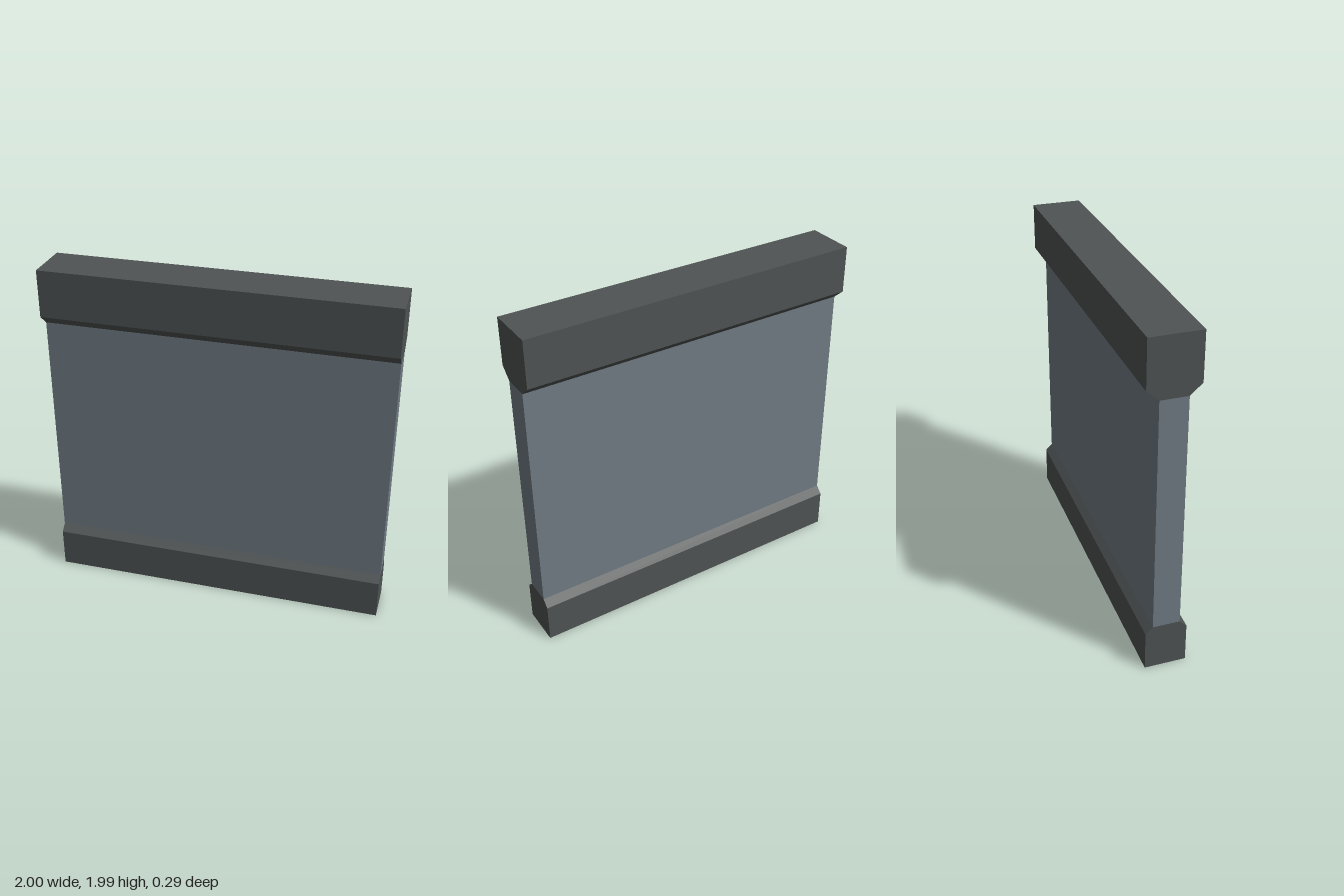
import * as THREE from 'three';

const HALF_WIDTH = 1;

// Hollow shell through [height, halfDepth] rows, with both ends closed.
function shell(name, rows, material, closedTop = false) {
  const pos = [];
  const quad = (a, b, c, d) => pos.push(...a, ...b, ...c, ...a, ...c, ...d);
  const w = HALF_WIDTH;
  for (let i = 0; i < rows.length - 1; i++) {
    const [y0, d0] = rows[i];
    const [y1, d1] = rows[i + 1];
    quad([-w, y0, d0], [w, y0, d0], [w, y1, d1], [-w, y1, d1]); // front
    quad([w, y0, -d0], [-w, y0, -d0], [-w, y1, -d1], [w, y1, -d1]); // back
    quad([w, y0, d0], [w, y0, -d0], [w, y1, -d1], [w, y1, d1]); // left end
    quad([-w, y0, -d0], [-w, y0, d0], [-w, y1, d1], [-w, y1, -d1]); // right end
  }
  if (closedTop) {
    const [y, d] = rows[rows.length - 1];
    quad([-w, y, d], [w, y, d], [w, y, -d], [-w, y, -d]);
  }
  const geometry = new THREE.BufferGeometry();
  geometry.setAttribute('position', new THREE.Float32BufferAttribute(pos, 3));
  geometry.computeVertexNormals();
  const mesh = new THREE.Mesh(geometry, material);
  mesh.name = name;
  return mesh;
}

export function createModel() {
  const trim = new THREE.MeshStandardMaterial({ color: 0x4f5353, side: THREE.DoubleSide });
  trim.name = 'dark grey trim';
  const wall = new THREE.MeshStandardMaterial({ color: 0x6f7b83, side: THREE.DoubleSide });
  wall.name = 'blue grey wall';

  const group = new THREE.Group();
  group.name = 'wallSection';
  group.add(
    // Skirting, open underneath, with bevelled shoulders
    shell('baseTrim', [[0, 0.118], [0.235, 0.118], [0.275, 0.077]], trim),
    // Recessed wall between the trims
    shell('wallPanel', [[0.275, 0.077], [1.655, 0.077]], wall),
    // Heavy coping with bevelled underside
    shell('topTrim', [[1.655, 0.077], [1.715, 0.144], [1.99, 0.144]], trim, true)
  );
  return group;
}
